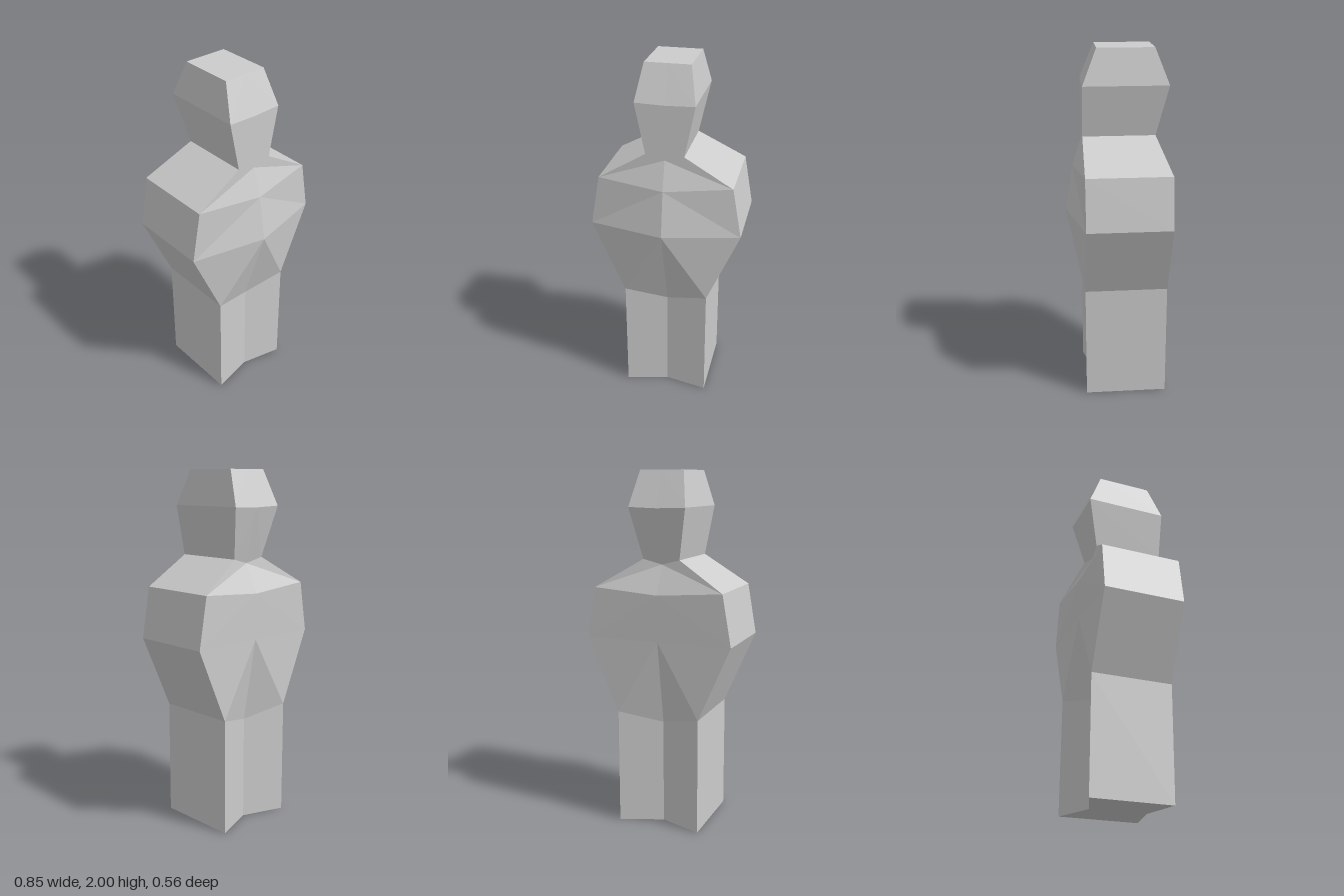
import * as THREE from 'three';

// Six-point ring: half width, side height, centre height, front/back z at the
// corners, front/back z on the centre line.
const ring = (w, y, yc, zf, zb, cf, cb) => [
  [-w, y, zf], [0, yc, cf], [w, y, zf],
  [w, y, zb], [0, yc, cb], [-w, y, zb],
];

const base = ring(0.24, 0, 0, 0.183, -0.283, 0.13, -0.195);
const waist = ring(0.24, 0.66, 0.6, 0.183, -0.283, 0.13, -0.195);
const chest = ring(0.423, 1.08, 1.08, 0.183, -0.283, 0.28, -0.28);
const shoulder = ring(0.373, 1.365, 1.337, 0.183, -0.283, 0.237, -0.283);
const neck = ring(0.106, 1.525, 1.497, 0.183, -0.218, 0.183, -0.205);
const brow = ring(0.163, 1.805, 1.8, 0.183, -0.283, 0.183, -0.283);
const crown = ring(0.125, 2, 2, 0.105, -0.206, 0.105, -0.206);

// Skins a stack of rings, with optional flat ends
function loft(name, rings, { bottom = false, top = false } = {}) {
  const pos = [];
  const tri = (a, b, c) => pos.push(...a, ...b, ...c);
  const quad = (a, b, c, d) => { tri(a, b, c); tri(a, c, d); };
  for (let r = 0; r < rings.length - 1; r++) {
    const lo = rings[r], hi = rings[r + 1];
    for (let i = 0; i < 6; i++) {
      const j = (i + 1) % 6;
      // the diagonal always starts at the upper centre point, so halves mirror
      if (j === 1 || j === 4) quad(lo[i], lo[j], hi[j], hi[i]);
      else quad(lo[j], hi[j], hi[i], lo[i]);
    }
  }
  if (top) {
    const t = rings[rings.length - 1];
    quad(t[0], t[1], t[4], t[5]);
    quad(t[1], t[2], t[3], t[4]);
  }
  if (bottom) {
    const b = rings[0];
    quad(b[5], b[4], b[1], b[0]);
    quad(b[4], b[3], b[2], b[1]);
  }
  const geometry = new THREE.BufferGeometry();
  geometry.setAttribute('position', new THREE.Float32BufferAttribute(pos, 3));
  geometry.computeVertexNormals();
  const mesh = new THREE.Mesh(geometry,
    new THREE.MeshStandardMaterial({ color: 0xcccccc, flatShading: true }));
  mesh.name = name;
  return mesh;
}

export function createModel() {
  const group = new THREE.Group();
  group.name = 'figure';
  group.add(
    loft('legs', [base, waist], { bottom: true }),
    loft('torso', [waist, chest, shoulder, neck]),
    loft('head', [neck, brow, crown], { top: true }),
  );
  return group;
}
